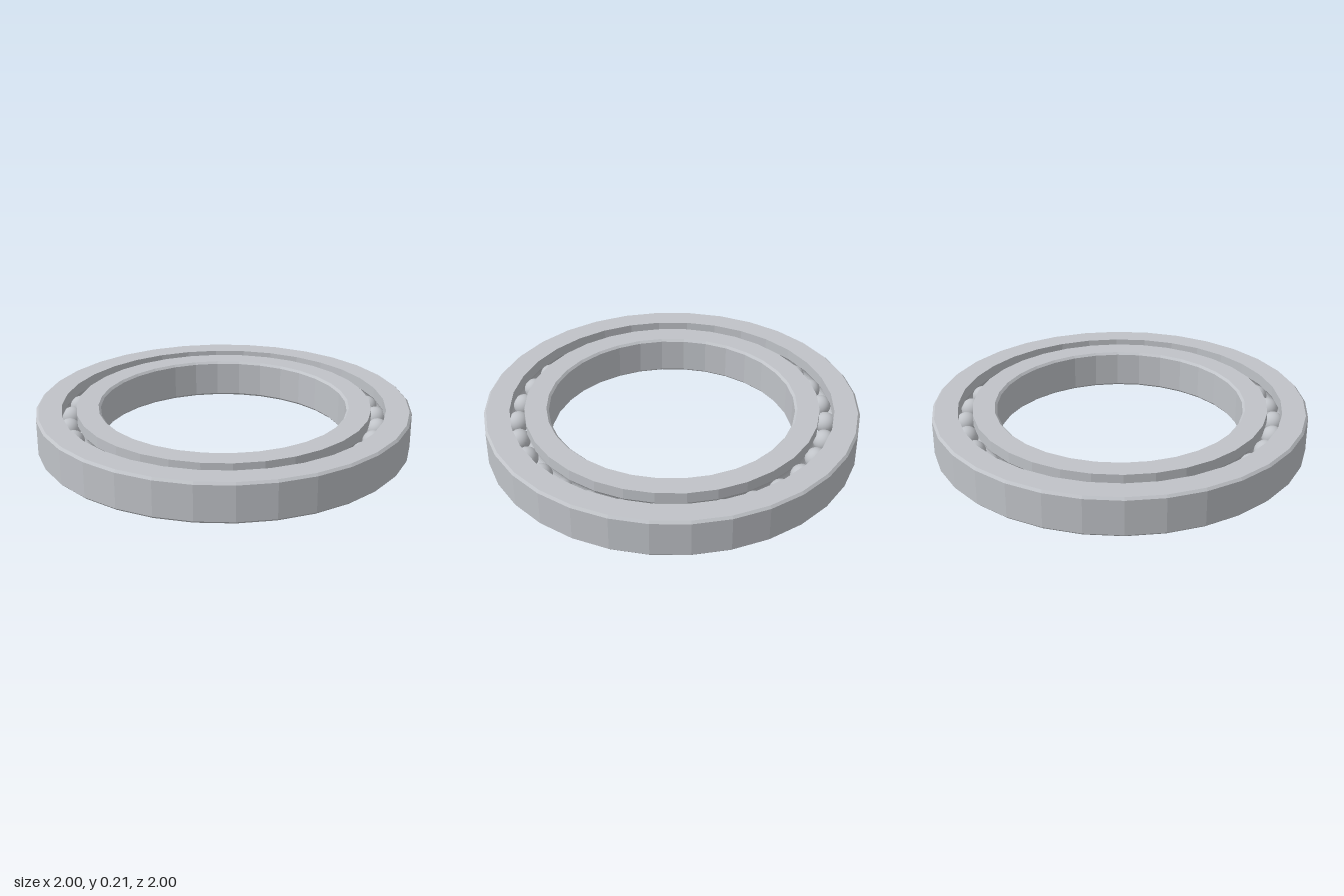
import * as THREE from 'three';

const HEIGHT = 0.21, MID = HEIGHT / 2;
const PITCH = 0.825, BALL_R = 0.058, BALLS = 31;
const GROOVE_R = 0.06, CHAMFER = 0.012, SIDES = 32;

// Ring cross-section, swept round the axis: chamfers on the plain wall,
// a rounded ball groove in the wall that faces the gap.
function ringGeometry(plainR, gapR) {
  const side = Math.sign(plainR - gapR); // +1 outer ring, -1 inner ring
  const half = Math.acos(Math.abs(gapR - PITCH) / GROOVE_R);
  const points = [
    [gapR, 0],
    [plainR - side * CHAMFER, 0],
    [plainR, CHAMFER],
    [plainR, HEIGHT - CHAMFER],
    [plainR - side * CHAMFER, HEIGHT],
    [gapR, HEIGHT],
  ];
  for (let i = 0; i <= 8; i++) {
    const a = half * (1 - i / 4);
    points.push([PITCH + side * GROOVE_R * Math.cos(a), MID + GROOVE_R * Math.sin(a)]);
  }
  points.push([gapR, 0]);
  if (side < 0) points.reverse(); // keep faces pointing outwards
  return new THREE.LatheGeometry(points.map(([r, y]) => new THREE.Vector2(r, y)), SIDES);
}

export function createModel() {
  const steel = new THREE.MeshStandardMaterial({ color: 0xc0c3c8 });
  const ringSteel = steel.clone();
  steel.name = 'ballSteel';
  ringSteel.name = 'ringSteel';
  ringSteel.flatShading = true;

  const model = new THREE.Group();
  model.name = 'ballBearing';

  // Outer and inner races
  const outer = new THREE.Mesh(ringGeometry(1, 0.865), ringSteel);
  outer.name = 'outerRing';
  const inner = new THREE.Mesh(ringGeometry(0.658, 0.787), ringSteel);
  inner.name = 'innerRing';
  model.add(outer, inner);

  // Balls spaced evenly in the groove
  const balls = new THREE.Group();
  balls.name = 'balls';
  const ballGeometry = new THREE.SphereGeometry(BALL_R, 24, 16);
  for (let i = 0; i < BALLS; i++) {
    const a = (i / BALLS) * Math.PI * 2;
    const ball = new THREE.Mesh(ballGeometry, steel);
    ball.name = 'ball';
    ball.position.set(PITCH * Math.cos(a), MID, PITCH * Math.sin(a));
    balls.add(ball);
  }
  model.add(balls);
  return model;
}
